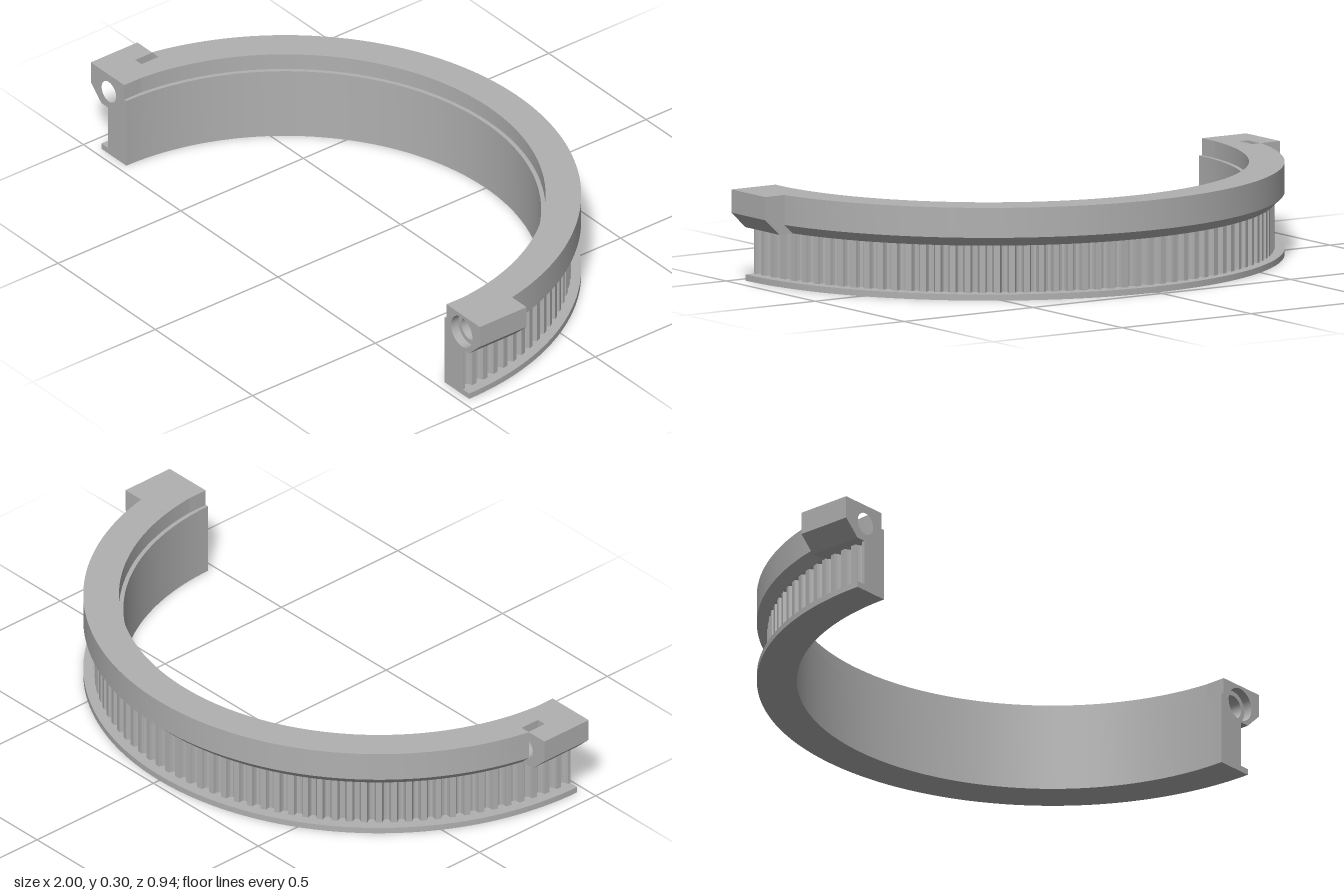
import * as THREE from 'three';

const CZ = 0.47; // z of the ring's axis, also the flat front plane
const grey = new THREE.MeshStandardMaterial({ color: 0xb0b0b0 });
grey.name = 'plain grey';

// Sweeps a counter-clockwise (radius, height) profile round the half ring,
// with both ends cut flat on the plane z = zEnd.
function sweep(profile, zEnd, steps = 96) {
  const pos = [], index = [];
  const start = (r) => Math.asin((CZ - zEnd) / r);
  const put = ([r, y], t) => {
    const a0 = start(r), a = a0 + (Math.PI - 2 * a0) * t;
    pos.push(r * Math.cos(a), y, CZ - r * Math.sin(a));
  };
  profile.forEach((p, i) => {
    const q = profile[(i + 1) % profile.length];
    const base = pos.length / 3;
    for (let j = 0; j <= steps; j++) { put(p, j / steps); put(q, j / steps); }
    for (let j = 0; j < steps; j++) {
      const k = base + 2 * j;
      index.push(k, k + 2, k + 1, k + 1, k + 2, k + 3);
    }
  });
  // flat end caps
  const tris = THREE.ShapeUtils.triangulateShape(profile.map(([r, y]) => new THREE.Vector2(r, y)), []);
  for (const t of [0, 1]) {
    const base = pos.length / 3;
    profile.forEach((p) => put(p, t));
    for (const [a, b, c] of tris) {
      if (t === 0) index.push(base + a, base + b, base + c);
      else index.push(base + a, base + c, base + b);
    }
  }
  const geo = new THREE.BufferGeometry();
  geo.setAttribute('position', new THREE.Float32BufferAttribute(pos, 3));
  geo.setIndex(index);
  geo.computeVertexNormals();
  return geo;
}

// Half annulus with rounded belt grooves cut in its outer edge
function toothedBand() {
  const teeth = 60, land = 0.912, depth = 0.02, inner = 0.835;
  const pts = [];
  const polar = (r, a) => pts.push(new THREE.Vector2(r * Math.cos(a), r * Math.sin(a)));
  const groove = [[0, 0], [0.2, 0], [0.25, 0.45], [0.33, 0.85], [0.5, 1], [0.67, 0.85], [0.75, 0.45], [0.8, 0]];
  for (let i = 0; i < teeth; i++) {
    for (const [t, d] of groove) polar(land - depth * d, Math.PI * (i + t) / teeth);
  }
  polar(land, Math.PI);
  for (let i = 0; i <= 64; i++) polar(inner, Math.PI * (1 - i / 64));
  const geo = new THREE.ExtrudeGeometry(new THREE.Shape(pts), { depth: 0.158, bevelEnabled: false });
  geo.rotateX(-Math.PI / 2);
  geo.translate(0, 0.018, CZ);
  return geo;
}

// One slice of a clamp lug between two z planes, with an optional bolt hole.
// side is +1 for the left lug and -1 for the right one.
const BOLT = { x: 0.907, y: 0.235 };
function lugSlice(side, z0, z1, radius, slotted = false) {
  const pts = [[0.828, 0.173], [0.945, 0.173], [1, 0.225], [1, 0.3]];
  if (slotted) {
    // the hole opens upwards through a narrow nut slot
    const half = 0.016, a0 = Math.acos(half / radius), a1 = -Math.PI - a0;
    pts.push([BOLT.x + half, 0.3]);
    for (let i = 0; i <= 40; i++) {
      const a = a0 + (a1 - a0) * i / 40;
      pts.push([BOLT.x + radius * Math.cos(a), BOLT.y + radius * Math.sin(a)]);
    }
    pts.push([BOLT.x - half, 0.3]);
  }
  pts.push([0.828, 0.3]);
  const shape = new THREE.Shape(pts.map(([x, y]) => new THREE.Vector2(side * x, y)));
  if (radius && !slotted) {
    const hole = new THREE.Path();
    hole.absarc(side * BOLT.x, BOLT.y, radius, 0, Math.PI * 2, true);
    shape.holes.push(hole);
  }
  const geo = new THREE.ExtrudeGeometry(shape, { depth: z1 - z0, bevelEnabled: false, curveSegments: 40 });
  geo.translate(0, 0, z0);
  return geo;
}

export function createModel() {
  const model = new THREE.Group();
  model.name = 'halfRingPulley';
  const add = (name, geo, parent = model) => {
    const mesh = new THREE.Mesh(geo, grey);
    mesh.name = name;
    parent.add(mesh);
  };

  // inner wall with the shallow step near its top
  add('innerWall', sweep([[0.817, 0], [0.848, 0], [0.848, 0.3], [0.831, 0.3], [0.831, 0.245], [0.817, 0.245]], CZ));
  // thin bottom flange
  add('bottomFlange', sweep([[0.835, 0], [0.945, 0], [0.945, 0.02], [0.835, 0.02]], CZ));
  // belt teeth
  add('toothedBand', toothedBand());
  // top rim with a sloping underside, ending behind the lugs
  add('topRim', sweep([[0.835, 0.173], [0.914, 0.173], [0.945, 0.203], [0.945, 0.3], [0.835, 0.3]], 0.28));

  // left lug: counterbored blind bolt hole
  const left = new THREE.Group();
  left.name = 'leftLug';
  add('leftLugMouth', lugSlice(1, 0.44, CZ, 0.055), left);
  add('leftLugBody', lugSlice(1, 0.3, 0.44, 0.039), left);
  add('leftLugBack', lugSlice(1, 0.28, 0.3, 0), left);
  model.add(left);

  // right lug: through hole with a nut slot at the back
  const right = new THREE.Group();
  right.name = 'rightLug';
  add('rightLugBody', lugSlice(-1, 0.35, CZ, 0.037), right);
  add('rightLugSlot', lugSlice(-1, 0.28, 0.35, 0.037, true), right);
  model.add(right);

  return model;
}
